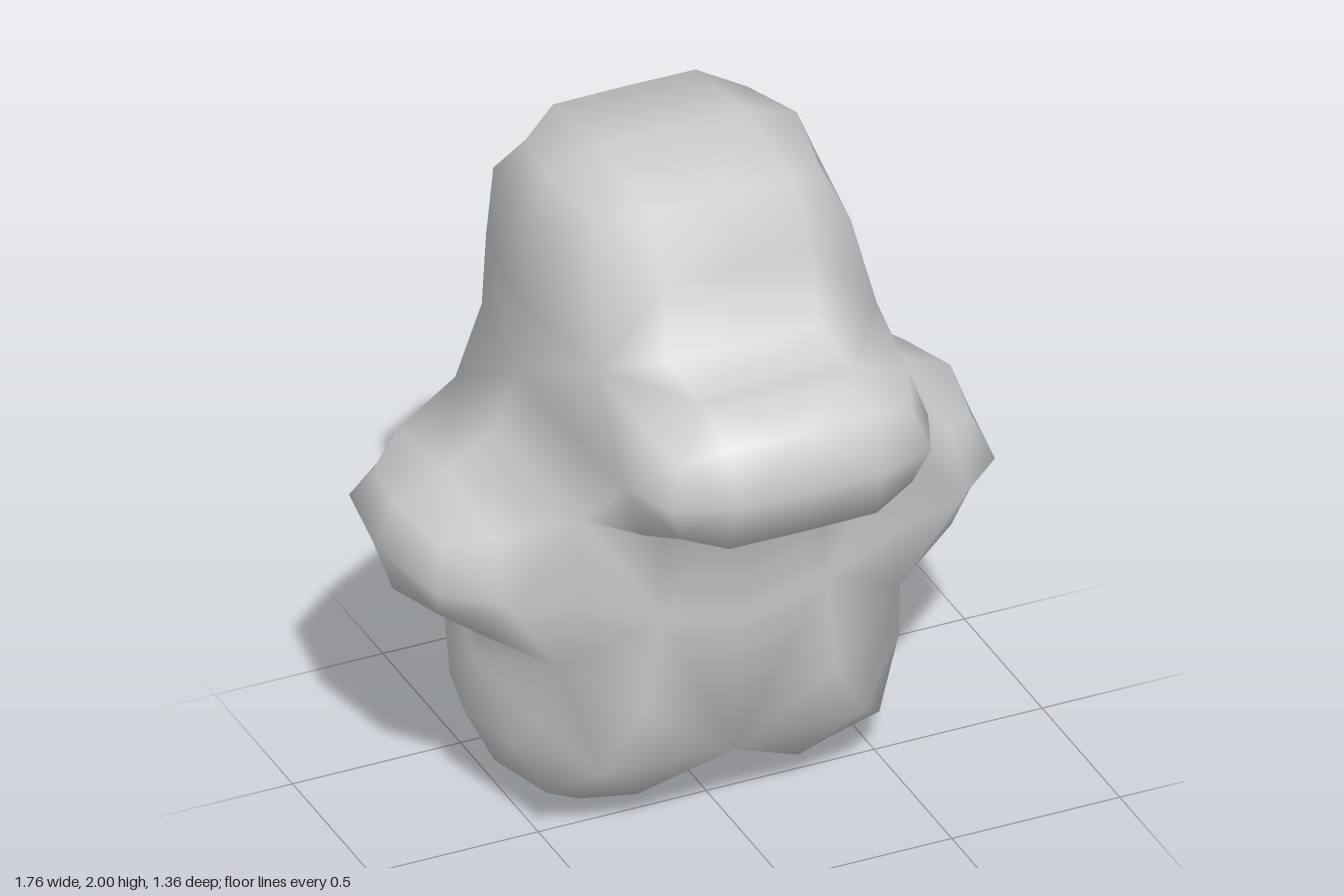
import * as THREE from 'three';

const Z0 = -0.22; // middle of the body, front to back

// Right-hand half of the figure: x, y and half depth of each cage corner
const P = {
  crotch: [0, 0.16, 0.46], footIn: [0.38, -0.08, 0.33], footOut: [0.68, 0.3, 0.33],
  armpit: [0.5, 0.62, 0.46], handLow: [0.88, 0.704, 0.36], handTop: [0.88, 1.046, 0.36],
  shoulder: [0.475, 1.11, 0.46], chest: [0, 1.11, 0.46],
  temple: [0.455, 1.56, 0.46], brow: [0, 1.56, 0.46],
  crownSide: [0.42, 1.99, 0.4], crown: [0, 2.0, 0.4],
};
const front = (n) => [P[n][0], P[n][1], Z0 + P[n][2]];
const back = (n) => [P[n][0], P[n][1], Z0 - P[n][2]];
const snoutTip = {
  chest: [0, 1.13, 0.685], shoulder: [0.435, 1.13, 0.67],
  temple: [0.435, 1.54, 0.67], brow: [0, 1.54, 0.685],
};

// Coarse cage, one half, then mirrored and welded
function buildCage() {
  const half = [];
  const wall = (a, b, near, far) => half.push([near(b), near(a), far(a), far(b)]);

  const panels = [
    ['crotch', 'footIn', 'footOut', 'armpit'],        // leg
    ['crotch', 'armpit', 'shoulder', 'chest'],        // torso
    ['armpit', 'handLow', 'handTop', 'shoulder'],     // arm
    ['chest', 'shoulder', 'temple', 'brow'],          // cheek
    ['brow', 'temple', 'crownSide', 'crown'],         // top of head
  ];
  panels.forEach((p, k) => {
    if (k !== 3) half.push(p.map(front));
    half.push(p.map(back).reverse());
  });

  // Sides all round the outline
  const rim = ['crotch', 'footIn', 'footOut', 'armpit', 'handLow', 'handTop',
    'shoulder', 'temple', 'crownSide', 'crown'];
  for (let k = 0; k < rim.length - 1; k++) wall(rim[k], rim[k + 1], front, back);

  // Snout pulled forward from the cheek
  const muzzle = panels[3], tip = (n) => snoutTip[n];
  half.push(muzzle.map(tip));
  for (let k = 0; k < 3; k++) wall(muzzle[k], muzzle[k + 1], tip, front);

  const verts = [], index = new Map();
  const id = (p) => {
    const key = p.map((v) => Math.round(v * 1e4)).join();
    if (!index.has(key)) { index.set(key, verts.length); verts.push(new THREE.Vector3(...p)); }
    return index.get(key);
  };
  const flip = ([x, y, z]) => [-x, y, z];
  const faces = [];
  for (const f of half) faces.push(f.map(id), f.map(flip).reverse().map(id));

  // Creases where the snout meets the face
  const sharp = new Set();
  for (const [a, b] of [['chest', 'shoulder'], ['brow', 'temple']]) {
    sharp.add(edgeKey(id(front(a)), id(front(b))));
    sharp.add(edgeKey(id(front(a)), id(flip(front(b)))));
  }
  return { verts, faces, sharp };
}

const edgeKey = (a, b) => (a < b ? `${a}_${b}` : `${b}_${a}`);
const mean = (list) => list.reduce((s, v) => s.add(v), new THREE.Vector3()).divideScalar(list.length);

// One round of Catmull-Clark smoothing
function subdivide({ verts, faces, sharp }) {
  const centres = faces.map((f) => mean(f.map((i) => verts[i])));
  const edges = new Map();
  const around = verts.map(() => ({ faces: [], mids: [], creased: [] }));
  faces.forEach((f, k) => f.forEach((a, n) => {
    const b = f[(n + 1) % f.length], key = edgeKey(a, b);
    if (!edges.has(key)) edges.set(key, { a, b, sides: [] });
    edges.get(key).sides.push(centres[k]);
    around[a].faces.push(centres[k]);
  }));

  const points = [];
  for (const [key, e] of edges) {
    const mid = mean([verts[e.a], verts[e.b]]);
    around[e.a].mids.push(mid);
    around[e.b].mids.push(mid);
    if (sharp.has(key)) { around[e.a].creased.push(mid); around[e.b].creased.push(mid); }
    e.index = verts.length + faces.length + points.length;
    points.push(sharp.has(key) ? mid : mean([verts[e.a], verts[e.b], ...e.sides]));
  }
  const moved = verts.map((v, i) => {
    const r = around[i], n = r.mids.length;
    if (r.creased.length === 2) return mean([v, v, ...r.creased]);
    return mean(r.faces).addScaledVector(mean(r.mids), 2).addScaledVector(v, n - 3).divideScalar(n);
  });

  const quads = [];
  faces.forEach((f, k) => f.forEach((v, n) => {
    const next = f[(n + 1) % f.length], prev = f[(n + f.length - 1) % f.length];
    quads.push([v, edges.get(edgeKey(v, next)).index, verts.length + k,
      edges.get(edgeKey(prev, v)).index]);
  }));
  return { verts: [...moved, ...centres, ...points], faces: quads };
}

export function createModel() {
  const group = new THREE.Group();
  group.name = 'figure';

  const { verts, faces } = subdivide(buildCage());
  const geometry = new THREE.BufferGeometry().setFromPoints(verts);
  geometry.setIndex(faces.flatMap(([a, b, c, d]) => [a, b, c, a, c, d]));
  geometry.computeVertexNormals();

  // Stand the body on the ground
  geometry.computeBoundingBox();
  geometry.translate(0, -geometry.boundingBox.min.y, 0);

  const body = new THREE.Mesh(geometry, new THREE.MeshStandardMaterial({ color: 0xcccccc }));
  body.name = 'body';
  group.add(body);
  return group;
}
